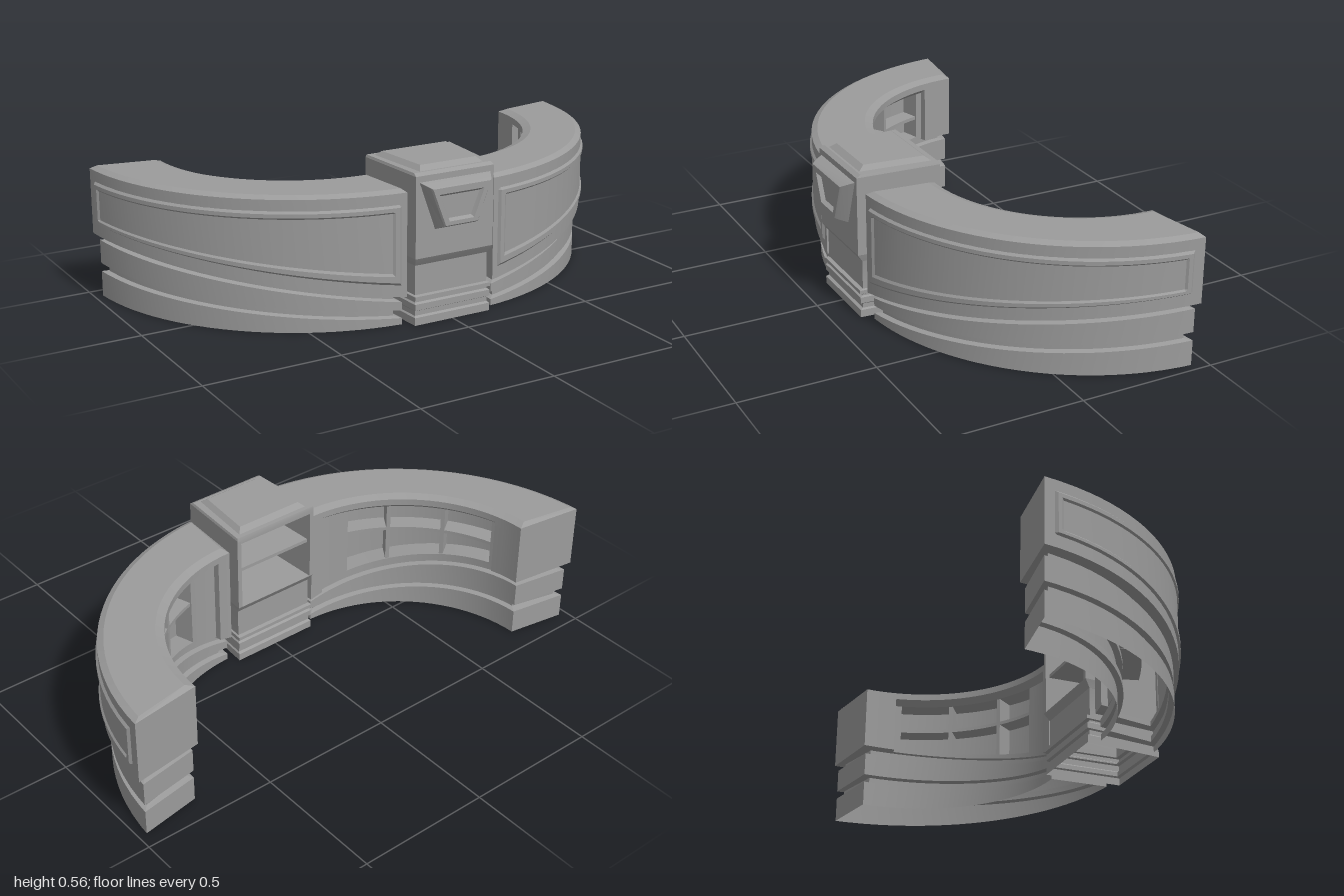
import * as THREE from 'three';
import { toCreasedNormals } from 'three/addons/utils/BufferGeometryUtils.js';

const material = new THREE.MeshStandardMaterial({ color: 0x9b9b9b, side: THREE.DoubleSide });
const { degToRad: rad, lerp, clamp } = THREE.MathUtils;

// The wing's two plan curves: centre, radius, angles at console end and far end
const OUTER = { x: 0.103, z: -0.505, r: 0.888, a0: 4.7, a1: 86.5 };
const INNER = { x: 0.193, z: -0.416, r: 0.54, a0: -0.3, a1: 90 };

function add(parent, name, geometry) {
  const mesh = new THREE.Mesh(geometry, material);
  mesh.name = name;
  parent.add(mesh);
  return mesh;
}

// Grid of quads from a rule point(row, column) -> Vector3, with sharp edges kept
function sheet(rows, cols, point) {
  const pos = [];
  const tri = (a, b, c) => {
    const area = b.clone().sub(a).cross(c.clone().sub(a)).length();
    if (area > 1e-9) for (const p of [a, b, c]) pos.push(p.x, p.y, p.z);
  };
  for (let i = 0; i < rows - 1; i++) {
    for (let j = 0; j < cols - 1; j++) {
      const a = point(i, j), b = point(i, j + 1), c = point(i + 1, j + 1), d = point(i + 1, j);
      tri(a, b, c);
      tri(a, c, d);
    }
  }
  const g = new THREE.BufferGeometry();
  g.setAttribute('position', new THREE.Float32BufferAttribute(pos, 3));
  g.computeVertexNormals();
  return toCreasedNormals(g, 0.3);
}

// Point at u (0 console end, 1 far end) along a curve, moved out by offset;
// its height runs from low to high in proportion to x
function onArc(curve, u, offset, low, high = low) {
  const sin = deg => Math.sin(rad(deg));
  const a = lerp(curve.a0, curve.a1, u), r = curve.r + offset;
  const s = (sin(a) - sin(curve.a0)) / (sin(curve.a1) - sin(curve.a0));
  return new THREE.Vector3(curve.x + r * sin(a), lerp(low, high, s), curve.z + r * Math.cos(rad(a)));
}

// Values from a to b, both included
const steps = (a, b, n) => Array.from({ length: n + 1 }, (_, i) => a + (b - a) * i / n);

// Levels: y at console end, y at far end, outer setback, inner setback, end inset, niche row
const levels = [
  [0, 0, 0.02, 0.015, 0.01],
  [0.022, 0.094, 0.02, 0.015, 0.01],
  [0.026, 0.098, 0.04, 0.035, 0.035],
  [0.047, 0.121, 0.04, 0.035, 0.035],
  [0.051, 0.125, 0.02, 0.015, 0.01],
  [0.080, 0.213, 0.02, 0.015, 0.01],
  [0.084, 0.217, 0.04, 0.035, 0.035],
  [0.101, 0.237, 0.04, 0.035, 0.035],
  [0.105, 0.240, 0, 0.025, 0],
  [0.125, 0.255, 0, 0.025, 0],
  [0.125, 0.255, 0, 0.025, 0, true],
  [0.435, 0.435, 0, 0.025, 0, true],
  [0.435, 0.435, 0, 0.025, 0],
  [0.455, 0.455, 0, 0, 0],
  [0.480, 0.480, 0, 0, 0],
  [0.491, 0.491, 0.022, 0.03, 0.015],
];
const NICHE = [0.2, 0.83], NICHE_DEPTH = 0.1;

function createWing() {
  const wing = new THREE.Group();
  // Columns: solid end blocks, plain inner wall, and shelf niche
  const columns = [
    ...[0, 0.02, 0.04, 0.06].map(u => ({ u, kind: 'block' })),
    ...steps(0.06, NICHE[0], 4).map(u => ({ u, kind: 'wall' })),
    ...steps(...NICHE, 16).map(u => ({ u, kind: 'niche' })),
    ...steps(NICHE[1], 0.86, 1).map(u => ({ u, kind: 'wall' })),
    ...[0.86, 0.91, 0.96, 1].map(u => ({ u, kind: 'block' })),
  ];
  const n = levels.length, last = columns.length - 1;
  const at = (i, j, inner) => {
    const [low, high, outBack, inBack, inset, niche] = levels[i];
    const { u, kind } = columns[j];
    const gap = inset / (inner ? 0.85 : 1.27);
    const v = clamp(u, gap, 1 - gap);
    if (!inner) return onArc(OUTER, v, -outBack, low, high);
    let back = inBack;
    if (niche && kind === 'niche') back = NICHE_DEPTH;
    if (kind === 'block' && i >= 8 && i < n - 1) back = 0;
    return onArc(INNER, v, back, low, high);
  };
  add(wing, 'counterShell', sheet(2 * n, columns.length,
    (i, j) => i < n ? at(i, j, false) : at(2 * n - 1 - i, j, true)));
  add(wing, 'innerEndCap', sheet(n, 2, (i, j) => at(i, 0, j === 0)));
  add(wing, 'outerEndCap', sheet(n, 2, (i, j) => at(i, last, j === 1)));

  // Front panel with a raised moulding round it
  const raise = [-0.002, 0.008, 0.008, 0.002];
  const along = [0.015, 0.023, 0.036, ...steps(0.043, 0.947, 24), 0.953, 0.964, 0.972];
  const lines = [[0.145, 0.283], [0.157, 0.29], [0.18, 0.3], [0.19, 0.306],
    [0.412, 0.412], [0.418, 0.418], [0.432, 0.432], [0.442, 0.442]];
  add(wing, 'frontPanel', sheet(lines.length, along.length, (i, j) => {
    const edge = Math.min(i, lines.length - 1 - i, j, along.length - 1 - j, 3);
    return onArc(OUTER, along[j], raise[edge], ...lines[i]);
  }));

  // Shelf and dividers in the niche
  const shelf = steps(...NICHE, 16);
  const section = [[NICHE_DEPTH, 0.325], [0.03, 0.325], [0.03, 0.338], [NICHE_DEPTH, 0.338]];
  add(wing, 'nicheShelf', sheet(4, shelf.length, (i, j) => onArc(INNER, shelf[j], ...section[i])));
  for (const u of [0.38, 0.61]) {
    const floor = onArc(INNER, u, 0, 0.125, 0.255).y;
    const divider = add(wing, 'nicheDivider',
      new THREE.BoxGeometry(0.015, 0.435 - floor, NICHE_DEPTH - 0.028));
    divider.position.copy(onArc(INNER, u, (NICHE_DEPTH + 0.028) / 2, (0.435 + floor) / 2));
    divider.rotation.y = rad(lerp(INNER.a0, INNER.a1, u));
  }
  return wing;
}

// Stack of tapering four-sided rings: y, half width at back, at front, z back, z front
function stack(rings) {
  return sheet(rings.length, 5, (i, j) => {
    const [y, wb, wf, zb, zf] = rings[i];
    const [x, z] = [[-wf, zf], [wf, zf], [wb, zb], [-wb, zb]][j % 4];
    return new THREE.Vector3(x, y, z);
  });
}

function createConsole() {
  const desk = new THREE.Group();
  // Grooved base, open underneath
  const ring = (y, inset) => [y, 0.175 - inset / 2, 0.157 - inset / 2, 0.095 + inset, 0.405 - inset];
  add(desk, 'consoleBase', stack([
    [0, 0.008], [0.028, 0.008], [0.033, 0.018], [0.05, 0.018], [0.055, 0.008], [0.077, 0.008],
    [0.082, 0.018], [0.088, 0.018], [0.092, 0.006], [0.105, 0.006], [0.108, 0.02], [0.215, 0.02],
    [0.24, 0.003], [0.245, 0],
  ].map(([y, inset]) => ring(y, inset)).concat([[0.245, 0, 0, 0.25, 0.25]])));

  // Upper walls, open at the back
  const walls = new THREE.Shape([
    [-0.175, 0.095], [-0.157, 0.405], [0.157, 0.405], [0.175, 0.095],
    [0.158, 0.095], [0.142, 0.385], [-0.142, 0.385], [-0.158, 0.095],
  ].map(([x, z]) => new THREE.Vector2(x, -z)));
  const wallGeometry = new THREE.ExtrudeGeometry(walls, { depth: 0.285, bevelEnabled: false });
  wallGeometry.rotateX(-Math.PI / 2).translate(0, 0.245, 0);
  add(desk, 'consoleWalls', wallGeometry);

  add(desk, 'consoleShelf', stack([
    [0.39, 0, 0, 0.25, 0.25], [0.39, 0.157, 0.142, 0.11, 0.385],
    [0.403, 0.157, 0.142, 0.11, 0.385], [0.403, 0, 0, 0.25, 0.25],
  ]));
  add(desk, 'consoleTop', stack([
    [0.52, 0, 0, 0.25, 0.25], [0.52, 0.175, 0.157, 0.095, 0.405], [0.537, 0.175, 0.157, 0.095, 0.405],
    [0.546, 0.172, 0.154, 0.097, 0.388], [0.546, 0.15, 0.127, 0.115, 0.38],
    [0.562, 0.132, 0.112, 0.135, 0.358], [0.562, 0, 0, 0.25, 0.25],
  ]));

  // Trapezoid plaque with a sunken face: z, half width bottom, top, y bottom, y top
  const rings = [
    [0.4, 0.082, 0.145, 0.34, 0.517], [0.444, 0.068, 0.122, 0.358, 0.502],
    [0.45, 0.064, 0.116, 0.362, 0.498], [0.45, 0.05, 0.09, 0.376, 0.476],
    [0.435, 0.045, 0.08, 0.384, 0.466], [0.435, 0, 0, 0.42, 0.42],
  ];
  add(desk, 'frontPlaque', sheet(rings.length, 5, (i, j) => {
    const [z, wb, wt, yb, yt] = rings[i];
    const [x, y] = [[-wb, yb], [wb, yb], [wt, yt], [-wt, yt]][j % 4];
    return new THREE.Vector3(x, y, z);
  }));
  return desk;
}

export function createModel() {
  const model = new THREE.Group();
  model.name = 'receptionDesk';
  const left = createWing();
  left.name = 'leftWing';
  const right = createWing();
  right.name = 'rightWing';
  right.scale.x = -1;
  const desk = createConsole();
  desk.name = 'centreConsole';
  model.add(left, right, desk);
  return model;
}
